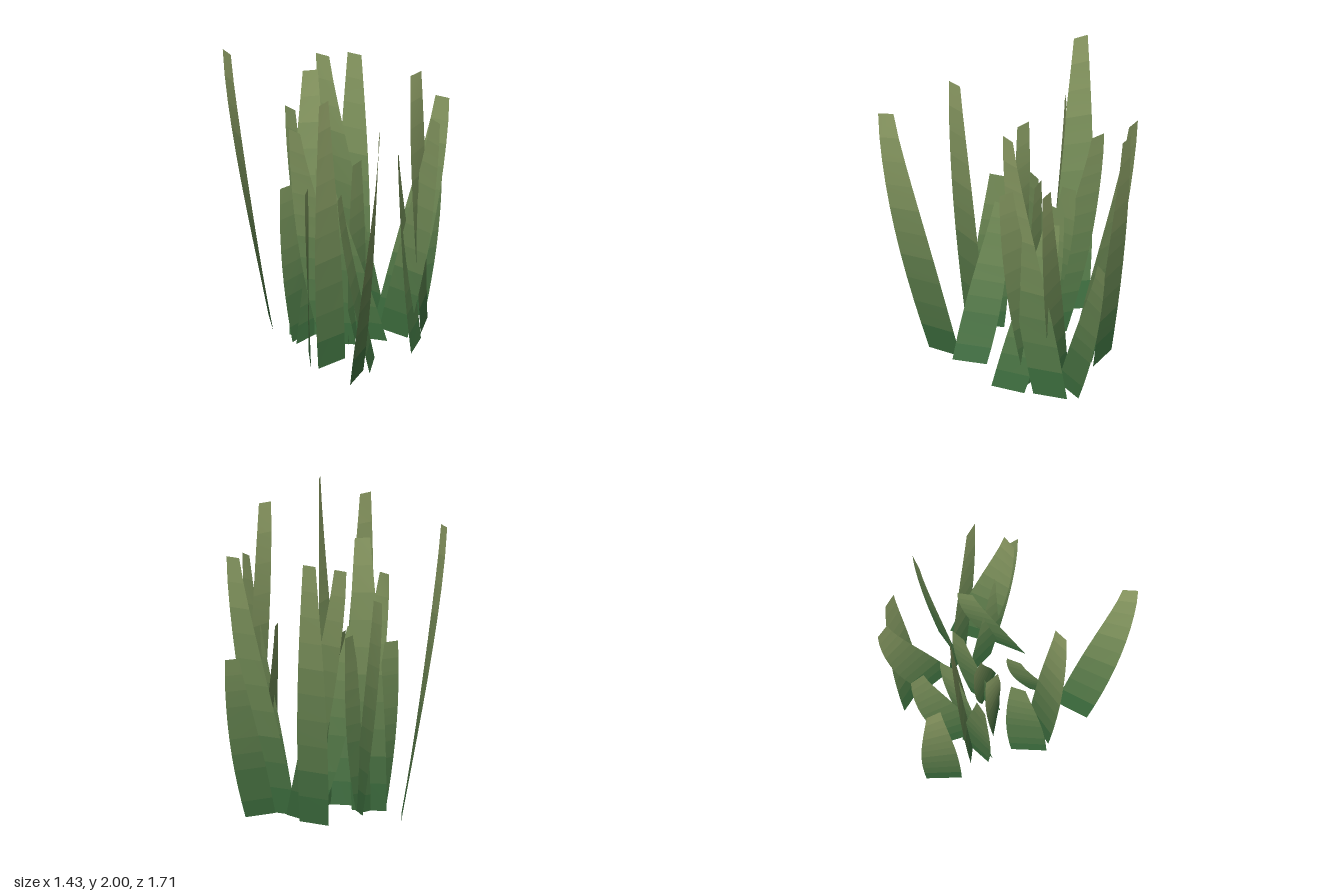
import * as THREE from 'three';

const SEGMENTS = 10;
const BANDS = 14;
const ROOT_WIDTH = 0.23;
const TIP_WIDTH = 0.1;

// each blade: height, root x, root z, root angle, tip x, tip z, tip angle (degrees)
const BLADES = [
  [1.97, -0.44, -0.5, 101, -0.7, -0.63, 77],
  [1.99, -0.25, 0.17, -22, -0.35, 0.3, -34],
  [1.98, -0.16, 0.41, -49, -0.14, 0.81, -74],
  [2, 0.49, -0.14, -60, 0.35, 0.11, -27],
  [1.86, -0.27, -0.27, 20, -0.2, -0.41, 8],
  [1.76, 0.15, -0.57, 45, 0.21, -0.72, 45],
  [1.74, 0.23, -0.39, -117, 0.02, -0.81, -131],
  [1.69, 0.3, -0.25, 41, 0.6, -0.09, 45],
  [1.65, 0.27, -0.11, 56, 0.47, 0.15, 73],
  [1.48, -0.19, -0.3, 85, -0.26, -0.64, 67],
  [1.56, -0.12, -0.08, 23, -0.39, -0.17, 63],
  [1.25, 0.35, 0.11, -55, 0.33, -0.19, -69],
  [1.19, 0.02, -0.12, -43, 0.08, -0.29, -37],
  [1.2, -0.28, -0.22, -30, -0.11, -0.41, -50],
  [1.12, -0.3, -0.26, -34, -0.42, -0.25, -20],
  [1.09, 0.45, -0.27, -22, 0.67, -0.44, -14],
  [1.13, -0.01, 0.28, -63, -0.15, 0.03, -56],
  [1.2, -0.37, 0.08, -75, -0.37, 0.01, -59],
  [1.22, 0.1, -0.08, 35, -0.18, -0.22, 40],
];

// Gradient from deep green root to pale olive tip, one material per height band
function createBandMaterials() {
  const root = new THREE.Color(0x3c6c3d);
  const tip = new THREE.Color(0x95a56a);
  return Array.from({ length: BANDS }, (_, i) => new THREE.MeshStandardMaterial({
    color: root.clone().lerp(tip, i / (BANDS - 1)),
    side: THREE.DoubleSide,
  }));
}

// Twisting strip that swells at mid height, tapers, and straightens at the tip
function createBlade([height, rootX, rootZ, rootAngle, tipX, tipZ, tipAngle], materials) {
  const positions = [];
  const index = [];
  const geometry = new THREE.BufferGeometry();
  for (let i = 0; i <= SEGMENTS; i++) {
    const t = i / SEGMENTS;
    const lean = 1 - (1 - t) ** 1.25;
    const x = THREE.MathUtils.lerp(rootX, tipX, lean);
    const z = THREE.MathUtils.lerp(rootZ, tipZ, lean);
    const swell = 1 + 0.15 * Math.sin(Math.PI * t);
    const half = THREE.MathUtils.lerp(ROOT_WIDTH, TIP_WIDTH, t ** 1.7) * swell / 2;
    const angle = THREE.MathUtils.degToRad(THREE.MathUtils.lerp(rootAngle, tipAngle, t ** 1.6));
    for (const side of [-half, half]) {
      positions.push(x + side * Math.cos(angle), t * height, z + side * Math.sin(angle));
    }
    if (i < SEGMENTS) {
      const k = i * 2;
      index.push(k, k + 1, k + 3, k, k + 3, k + 2);
      // colour follows height, so short blades stay greener at the tip
      const level = ((i + 0.5) / SEGMENTS) * height / 2;
      geometry.addGroup(i * 6, 6, Math.floor(level * BANDS));
    }
  }
  geometry.setAttribute('position', new THREE.Float32BufferAttribute(positions, 3));
  geometry.setIndex(index);
  geometry.computeVertexNormals();
  return new THREE.Mesh(geometry, materials);
}

export function createModel() {
  const model = new THREE.Group();
  model.name = 'grassClump';
  const materials = createBandMaterials();
  BLADES.forEach((spec, i) => {
    const blade = createBlade(spec, materials);
    blade.name = `grassBlade${i + 1}`;
    model.add(blade);
  });
  return model;
}
